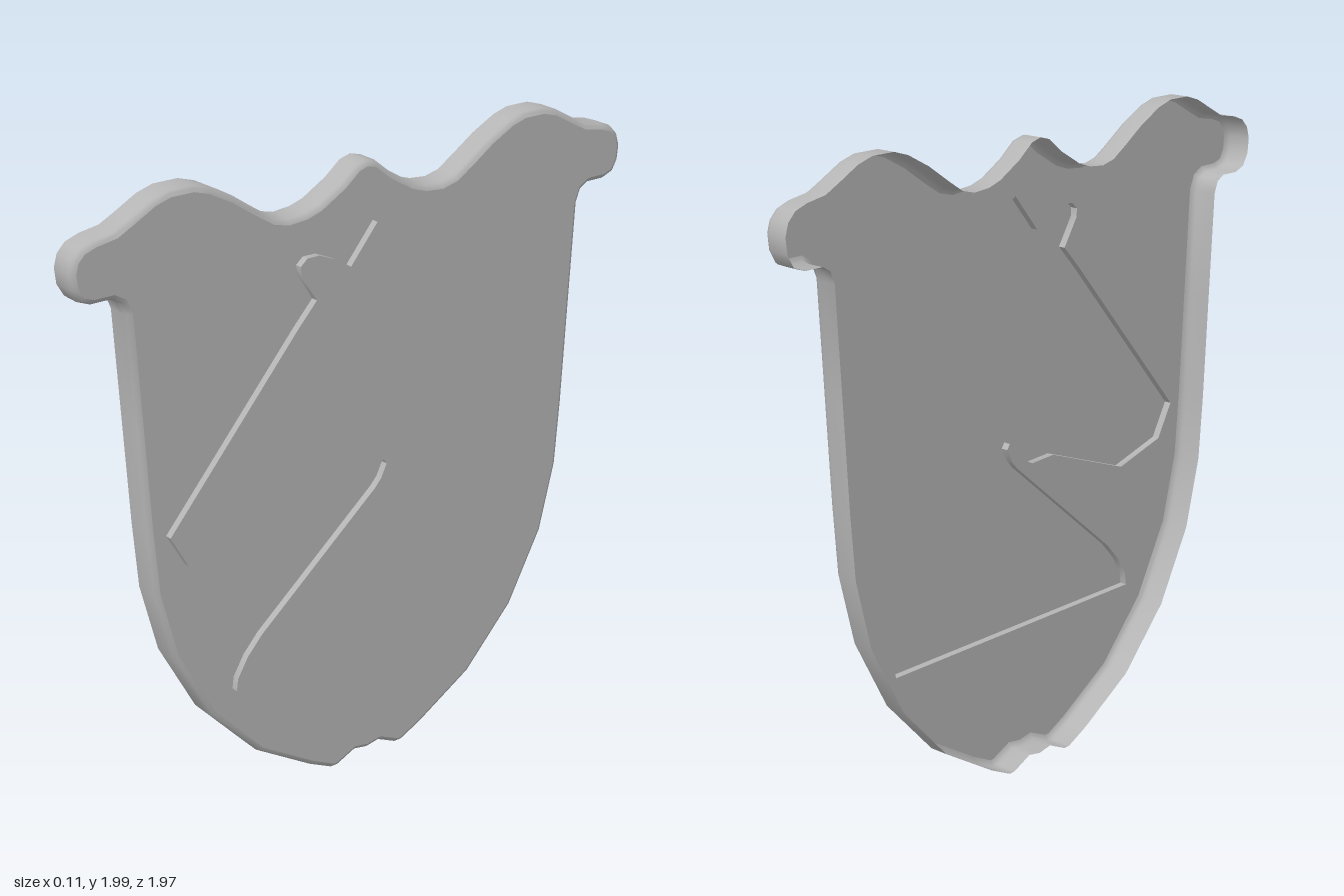
import * as THREE from 'three';
import { toCreasedNormals } from 'three/addons/utils/BufferGeometryUtils.js';

const BACK = -0.055, FACE = 0.03, RELIEF = 0.053;

// Half of the shield edge, from the top centre round to the bottom point
const halfEdge = [
  [0, 1.96], [0.037, 1.95], [0.09, 1.907], [0.17, 1.86], [0.217, 1.845], [0.275, 1.84], [0.323, 1.852],
  [0.376, 1.886], [0.455, 1.94], [0.534, 1.982], [0.587, 1.998], [0.667, 1.998], [0.72, 1.982],
  [0.788, 1.945], [0.84, 1.918], [0.905, 1.907], [0.947, 1.892], [0.973, 1.865], [0.984, 1.828],
  [0.979, 1.78], [0.958, 1.743], [0.92, 1.728], [0.857, 1.728], [0.829, 1.712], [0.815, 1.675],
  [0.797, 1.34], [0.78, 1.02], [0.764, 0.812], [0.709, 0.59], [0.587, 0.357], [0.413, 0.167],
  [0.217, 0.045], [0.138, 0.006], [0.116, 0.006], [0.048, 0.038], [0, 0.029],
];

// Horse head outline, counter-clockwise from the ear tip
const horseEdge = [
  [-0.016, 1.78], [0.079, 1.665], [0.138, 1.7], [0.19, 1.722], [0.233, 1.722], [0.256, 1.702], [0.254, 1.675],
  [0.201, 1.59], [0.27, 1.515], [0.72, 0.992], [0.661, 0.886], [0.476, 0.833], [0.153, 0.95], [0.058, 0.945],
  [0.03, 0.96], [-0.042, 1.03], [-0.053, 1.013], [-0.032, 0.97], [-0.01, 0.945], [0.413, 0.585],
  [0.466, 0.526], [0.503, 0.463], [0.508, 0.425], [-0.534, 0.425], [-0.55, 0.6], [-0.54, 0.98],
  [-0.519, 1.13], [-0.46, 1.3], [-0.392, 1.41], [-0.212, 1.632],
].map(([z, y]) => new THREE.Vector2(-z, y));

// Move a counter-clockwise loop inwards along its corner normals
function inset(loop, d) {
  const n = loop.length;
  return loop.map((p, i) => {
    const a = p.clone().sub(loop[(i + n - 1) % n]).normalize();
    const b = loop[(i + 1) % n].clone().sub(p).normalize();
    const t = a.add(b).normalize();
    return new THREE.Vector2(p.x - t.y * d, p.y + t.x * d);
  });
}

// Join a stack of [loop, depth] rings into an open wall
function wall(rings) {
  const pos = [], index = [], n = rings[0][0].length;
  for (const [loop, depth] of rings) for (const p of loop) pos.push(p.x, p.y, depth);
  for (let k = 0; k < rings.length - 1; k++) {
    for (let i = 0; i < n; i++) {
      const j = (i + 1) % n, a = k * n + i, b = k * n + j;
      index.push(a, b, b + n, a, b + n, a + n);
    }
  }
  const g = new THREE.BufferGeometry();
  g.setAttribute('position', new THREE.Float32BufferAttribute(pos, 3));
  g.setIndex(index);
  return toCreasedNormals(g, 0.7);
}

export function createModel() {
  const group = new THREE.Group();
  group.name = 'horseShield';
  const grey = new THREE.MeshStandardMaterial({ color: 0xb4b4b4, side: THREE.DoubleSide });
  grey.name = 'grey';

  // Shapes are drawn upright, then turned so they face +x
  const add = (name, geometry) => {
    const mesh = new THREE.Mesh(geometry.rotateY(Math.PI / 2), grey);
    mesh.name = name;
    group.add(mesh);
  };

  const edge = [
    ...halfEdge.map(([x, y]) => new THREE.Vector2(-x, y)),
    ...halfEdge.slice(1, -1).reverse().map(([x, y]) => new THREE.Vector2(x, y)),
  ];

  // Open-backed rim with a rounded front edge
  const profile = [[0, BACK], [0, 0.008], [0.003, 0.018], [0.009, 0.026], [0.018, FACE]];
  add('shieldRim', wall(profile.map(([d, depth]) => [inset(edge, d), depth])));

  // Front plate, cut out under the raised head
  const plate = new THREE.Shape(inset(edge, 0.018));
  plate.holes.push(new THREE.Path(horseEdge));
  add('shieldFace', new THREE.ShapeGeometry(plate).translate(0, 0, FACE));

  // Raised horse head, hollow from behind
  add('horseHeadSides', wall([[horseEdge, FACE], [horseEdge, RELIEF]]));
  add('horseHeadFace', new THREE.ShapeGeometry(new THREE.Shape(horseEdge)).translate(0, 0, RELIEF));

  return group;
}
